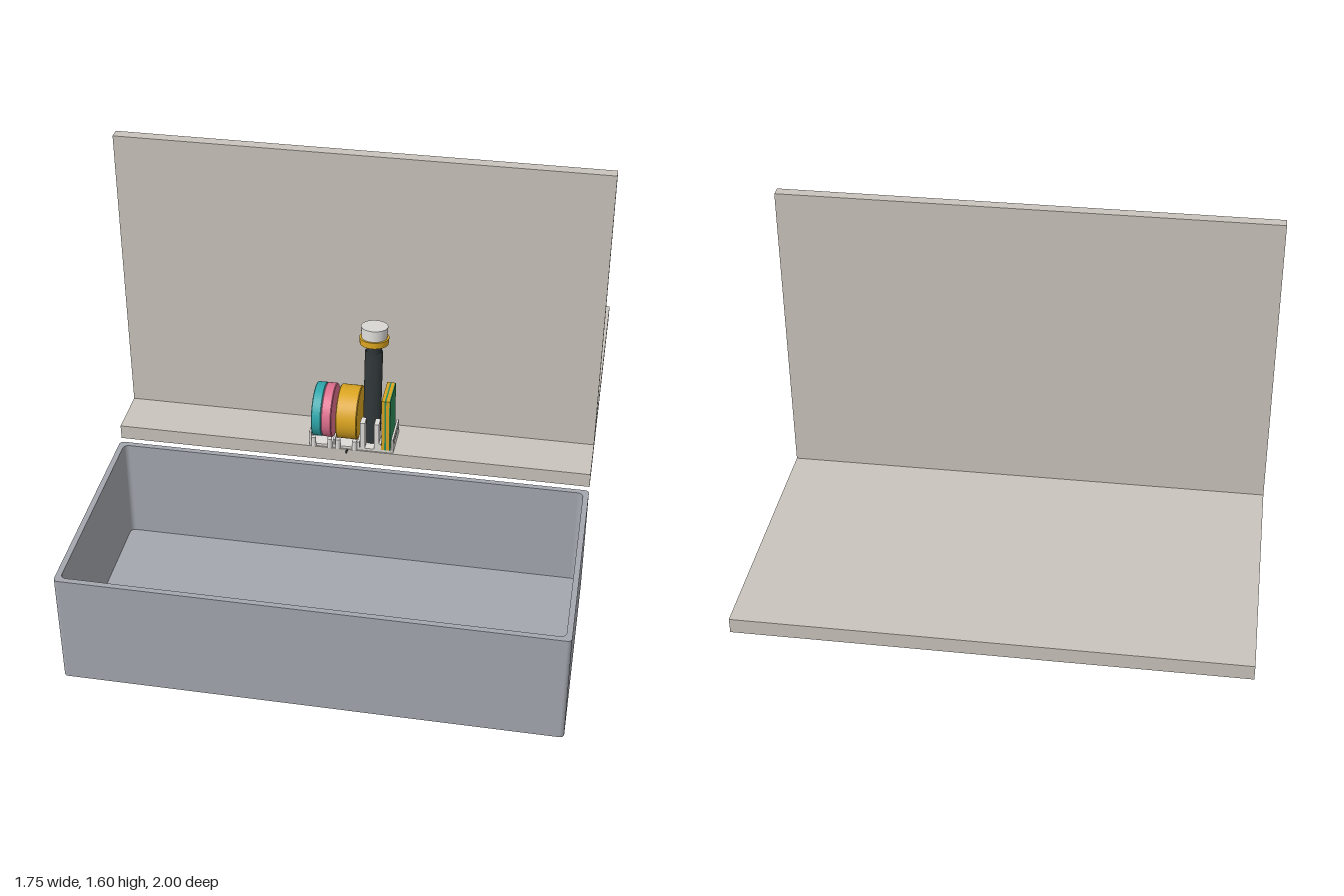
import * as THREE from 'three';

const mat = (name, color) => {
  const m = new THREE.MeshStandardMaterial({ color });
  m.name = name;
  return m;
};

// Rounded rectangle outline, centred on the origin
function roundedRect(target, w, d, r) {
  const x = w / 2, y = d / 2;
  target.moveTo(-x + r, -y);
  target.lineTo(x - r, -y);
  target.absarc(x - r, -y + r, r, -Math.PI / 2, 0);
  target.lineTo(x, y - r);
  target.absarc(x - r, y - r, r, 0, Math.PI / 2);
  target.lineTo(-x + r, y);
  target.absarc(-x + r, y - r, r, Math.PI / 2, Math.PI);
  target.lineTo(-x, -y + r);
  target.absarc(-x + r, -y + r, r, Math.PI, Math.PI * 1.5);
  return target;
}

export function createModel() {
  const stone = mat('warm stone', 0xc9c4bc);
  const steel = mat('grey blue', 0xa3a7ae);
  const white = mat('off white', 0xdedcd8);
  const teal = mat('teal', 0x2fa8ac);
  const pink = mat('pink', 0xe0708f);
  const gold = mat('gold', 0xdba520);
  const green = mat('green', 0x2e8b57);
  const dark = mat('charcoal', 0x2f3638);
  const model = new THREE.Group();

  const add = (parent, name, geometry, material, x = 0, y = 0, z = 0) => {
    const mesh = new THREE.Mesh(geometry, material);
    mesh.name = name;
    mesh.position.set(x, y, z);
    parent.add(mesh);
    return mesh;
  };
  // Box given by its minimum and maximum corners
  const block = (parent, name, material, x0, x1, y0, y1, z0, z1) =>
    add(parent, name, new THREE.BoxGeometry(x1 - x0, y1 - y0, z1 - z0), material,
      (x0 + x1) / 2, (y0 + y1) / 2, (z0 + z1) / 2);

  // Shelf and upright panel
  block(model, 'shelf', stone, -0.875, 0.875, 0.435, 0.49, -1, 0.17);
  block(model, 'backPanel', stone, -0.875, 0.875, 0.49, 1.6, -0.055, -0.015);

  // Open bin: rounded wall ring plus floor
  const bin = new THREE.Group();
  bin.name = 'bin';
  bin.position.z = 0.593;
  model.add(bin);
  const ring = roundedRect(new THREE.Shape(), 1.75, 0.814, 0.015);
  ring.holes.push(roundedRect(new THREE.Path(), 1.71, 0.774, 0.02));
  const slab = (shape, depth) =>
    new THREE.ExtrudeGeometry(shape, { depth, bevelEnabled: false, curveSegments: 6 }).rotateX(-Math.PI / 2);
  add(bin, 'binWalls', slab(ring, 0.43), steel);
  add(bin, 'binFloor', slab(roundedRect(new THREE.Shape(), 1.74, 0.804, 0.015), 0.03), steel, 0, 0.0005, 0);

  // Rack: base, pierced end plates and front posts
  const rack = new THREE.Group();
  rack.name = 'rack';
  model.add(rack);
  block(rack, 'rackBase', white, -0.157, 0.155, 0.49, 0.5, 0.03, 0.165);
  const plate = new THREE.Shape([
    [-0.0675, 0], [0.0675, 0], [0.0675, 0.057], [-0.0675, 0.057],
  ].map(([x, y]) => new THREE.Vector2(x, y)));
  for (let i = -2; i <= 2; i++) {
    const x = i * 0.021;
    plate.holes.push(new THREE.Path([
      [x - 0.008, 0.034], [x, 0.044], [x + 0.008, 0.034], [x, 0.024],
    ].map(([a, b]) => new THREE.Vector2(a, b))));
  }
  const plateGeo = new THREE.ExtrudeGeometry(plate, { depth: 0.008, bevelEnabled: false }).rotateY(Math.PI / 2);
  for (const x of [-0.157, 0.147]) add(rack, 'endPlate', plateGeo, white, x, 0.492, 0.0975);
  for (const x of [-0.065, 0.026, 0.106]) {
    block(rack, 'divider', white, x - 0.004, x + 0.004, 0.5, 0.525, 0.03, 0.165);
  }
  for (const x of [-0.14, -0.08, -0.05, 0.012]) {
    add(rack, 'frontPost', new THREE.CylinderGeometry(0.009, 0.009, 0.04, 16), white, x, 0.51, 0.165);
  }
  for (const x of [0.041, 0.093]) {
    block(rack, 'handleProng', white, x - 0.009, x + 0.009, 0.49, 0.61, 0.125, 0.165);
  }
  add(rack, 'hook', new THREE.TorusGeometry(0.008, 0.003, 8, 16, Math.PI).rotateY(Math.PI / 2),
    dark, -0.015, 0.484, 0.178);

  // Discs standing on edge, with eased rims
  const disc = (name, material, x0, x1) => {
    const h = (x1 - x0) / 2, r = 0.1, b = 0.003;
    const pts = [[0, -h], [r - b, -h], [r - b, -h], [r, -h + b], [r, -h + b],
      [r, h - b], [r, h - b], [r - b, h], [r - b, h], [0, h]].map(([x, y]) => new THREE.Vector2(x, y));
    add(model, name, new THREE.LatheGeometry(pts, 48).rotateZ(-Math.PI / 2), material, (x0 + x1) / 2, 0.6, 0.083);
  };
  disc('tealDisc', teal, -0.147, -0.11);
  disc('pinkDisc', pink, -0.11, -0.073);
  disc('goldDisc', gold, -0.057, 0.021);

  // Layered card
  const card = new THREE.Group();
  card.name = 'card';
  model.add(card);
  const layers = [[0.111, 0.122, gold], [0.122, 0.128, green], [0.128, 0.139, gold], [0.139, 0.143, green]];
  for (const [x0, x1, m] of layers) block(card, 'cardLayer', m, x0, x1, 0.5, 0.715, 0.038, 0.165);

  // Leaning tool: flattened handle, gold collar and pale cap
  const tool = new THREE.Group();
  tool.name = 'tool';
  tool.position.set(0.066, 0.495, 0.11);
  tool.rotation.x = -0.12;
  model.add(tool);
  const handle = new THREE.CylinderGeometry(0.033, 0.033, 0.37, 24).scale(1, 1, 0.66);
  add(tool, 'handle', handle, dark, 0, 0.187, 0);
  add(tool, 'handleNeck', new THREE.CylinderGeometry(0.031, 0.026, 0.04, 24), dark, 0, 0.385, 0);
  add(tool, 'collar', new THREE.CylinderGeometry(0.054, 0.052, 0.024, 32), gold, 0, 0.415, 0);
  add(tool, 'cap', new THREE.CylinderGeometry(0.049, 0.046, 0.045, 32), white, 0, 0.4475, 0);

  return model;
}
